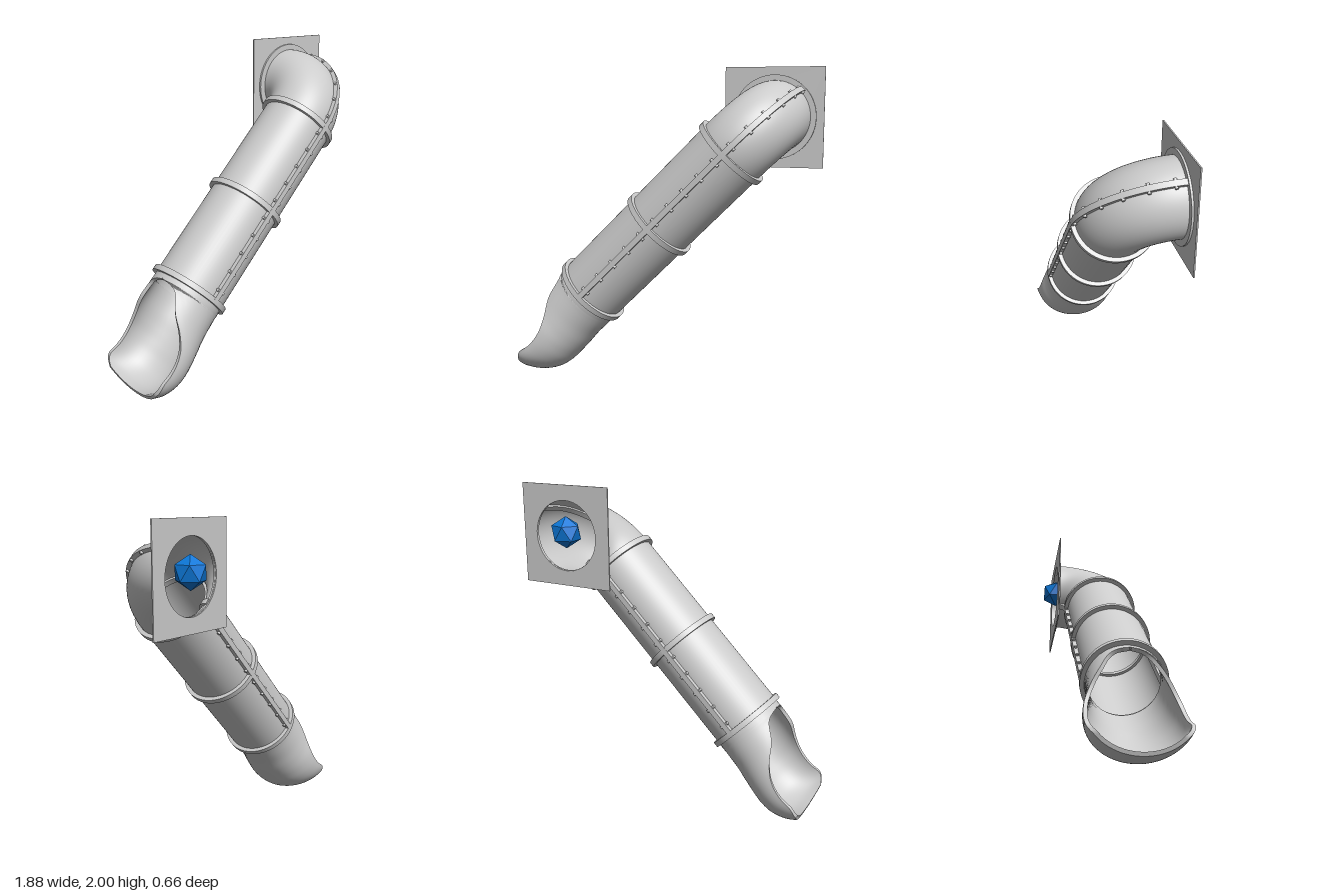
import * as THREE from 'three';
import { toCreasedNormals } from 'three/addons/utils/BufferGeometryUtils.js';

const TUBE = 0.228, FLANGE = 0.253, BEND = 0.295, SEGMENT = 0.65, SEAM = 0.035;
const grey = new THREE.MeshStandardMaterial({ color: 0xcccccc });
const greyThin = new THREE.MeshStandardMaterial({ color: 0xcccccc, side: THREE.DoubleSide });
const blue = new THREE.MeshStandardMaterial({ color: 0x0d78d8, flatShading: true });

function add(parent, name, geometry, material, x = 0, y = 0, z = 0) {
  const mesh = new THREE.Mesh(geometry, material);
  mesh.name = name;
  mesh.position.set(x, y, z);
  parent.add(mesh);
  return mesh;
}

// Flat collar around the y axis
function collar(inner, outer, thick) {
  const h = thick / 2;
  const profile = [[inner, -h], [outer, -h], [outer, h], [inner, h], [inner, -h]]
    .map(([r, y]) => new THREE.Vector2(r, y));
  return toCreasedNormals(new THREE.LatheGeometry(profile, 64), 0.6);
}

// Quarter-circle seam strip lying in the xz plane
function seamArc(inner, outer) {
  const shape = new THREE.Shape();
  shape.absarc(0, 0, outer, 0, Math.PI / 2, false);
  shape.absarc(0, 0, inner, Math.PI / 2, 0, true);
  const g = new THREE.ExtrudeGeometry(shape, { depth: SEAM, bevelEnabled: false, curveSegments: 24 });
  g.translate(0, 0, -SEAM / 2);
  g.rotateX(Math.PI / 2);
  return toCreasedNormals(g, 0.5);
}

// Scooped exit: U-shaped shell sections from the floor line to the rim line
function exitGeometry() {
  // floor x, floor y, rim x, rim y, half width
  const stations = [
    [-0.339, 0.399, -0.661, 0.721, 0.228],
    [-0.37, 0.37, -0.70, 0.69, 0.228],
    [-0.42, 0.32, -0.70, 0.64, 0.229],
    [-0.48, 0.26, -0.745, 0.53, 0.237],
    [-0.54, 0.19, -0.755, 0.42, 0.25],
    [-0.60, 0.125, -0.775, 0.335, 0.265],
    [-0.66, 0.065, -0.81, 0.27, 0.273],
    [-0.73, 0.02, -0.86, 0.215, 0.277],
    [-0.82, 0.0, -0.92, 0.17, 0.283],
    [-0.91, 0.005, -0.943, 0.10, 0.288],
  ];
  const floorLine = new THREE.CatmullRomCurve3(stations.map(s => new THREE.Vector3(s[0], s[1], s[4])));
  const rimLine = new THREE.CatmullRomCurve3(stations.map(s => new THREE.Vector3(s[2], s[3], 0)));
  const rows = 54, half = 32, n = 2 * half + 3, h = TUBE;
  const pos = [], index = [];
  for (let i = 0; i <= rows + 1; i++) {
    const u = Math.min(i / rows, 1);
    const wall = i > rows ? 0 : 0.022; // the last row closes the lip
    const b = floorLine.getPoint(u), e = rimLine.getPoint(u);
    const up = new THREE.Vector2(e.x - b.x, e.y - b.y);
    const span = Math.acos(Math.max(-1, 1 - up.length() / h));
    up.normalize();
    for (let j = 0; j < n; j++) {
      const k = j % (n - 1);
      const outer = k <= half;
      const phi = span * (outer ? 2 * k / half - 1 : 1 - 2 * (k - half - 1) / half);
      const t = outer ? 0 : wall;
      const rise = h - (h - t) * Math.cos(phi);
      pos.push(b.x + up.x * rise, Math.max(0, b.y + up.y * rise), (b.z - t) * Math.sin(phi));
    }
  }
  for (let i = 0; i <= rows; i++) {
    for (let j = 0; j < n - 1; j++) {
      const a = i * n + j, c = a + n;
      index.push(a, a + 1, c, a + 1, c + 1, c);
    }
  }
  const g = new THREE.BufferGeometry();
  g.setAttribute('position', new THREE.Float32BufferAttribute(pos, 3));
  g.setIndex(index);
  return toCreasedNormals(g, 0.7);
}

export function createModel() {
  const model = new THREE.Group();
  model.name = 'tubeSlide';

  // Sloping tube: local x runs up the slope, origin at the start of the elbow
  const slope = new THREE.Group();
  slope.name = 'slopingTube';
  slope.position.set(0.415, 1.48, 0.055);
  slope.rotation.z = Math.PI / 4;
  model.add(slope);

  const ringGeo = collar(TUBE - 0.015, FLANGE, 0.035).rotateZ(Math.PI / 2);
  const tubeGeo = new THREE.CylinderGeometry(TUBE, TUBE, SEGMENT, 64, 1, true).rotateZ(Math.PI / 2);
  const stripGeo = new THREE.BoxGeometry(SEGMENT, SEAM, 0.04);
  const boltGeo = new THREE.CylinderGeometry(0.01, 0.01, SEAM + 0.024, 8);
  for (let s = 0; s < 3; s++) {
    add(slope, 'jointRing', ringGeo, grey, -s * SEGMENT);
    if (s === 2) break;
    const mid = -(s + 0.5) * SEGMENT;
    add(slope, 'tubeSection', tubeGeo, greyThin, mid);
    for (const side of [-1, 1]) {
      add(slope, 'seamStrip', stripGeo, grey, mid, 0, side * (FLANGE - 0.02));
      for (let i = -2; i <= 2; i++) {
        add(slope, 'seamBolt', boltGeo, grey, mid + i * 0.13, 0, side * (FLANGE - 0.012));
      }
    }
  }

  // Elbow turning back into the wall
  const elbow = new THREE.Group();
  elbow.name = 'elbow';
  elbow.position.z = -BEND;
  slope.add(elbow);
  add(elbow, 'elbowTube',
    new THREE.TorusGeometry(BEND, TUBE, 64, 40, Math.PI / 2).rotateX(Math.PI / 2), greyThin);
  add(elbow, 'outerSeam', seamArc(BEND + FLANGE - 0.04, BEND + FLANGE), grey);
  add(elbow, 'innerSeam', seamArc(BEND - FLANGE, BEND - FLANGE + 0.04), grey);
  for (let i = 0; i < 6; i++) {
    const a = (i + 0.5) / 6 * Math.PI / 2, r = BEND + FLANGE - 0.012;
    add(elbow, 'seamBolt', boltGeo, grey, r * Math.cos(a), 0, r * Math.sin(a));
  }

  // Scooped exit at the bottom
  add(model, 'exitScoop', exitGeometry(), greyThin, 0, 0, 0.055);

  // Wall panel with a round entrance
  const panel = new THREE.Shape();
  const p = 0.315;
  panel.moveTo(-p, -p).lineTo(p, -p).lineTo(p, p).lineTo(-p, p).closePath();
  panel.holes.push(new THREE.Path().absarc(0, 0, TUBE - 0.008, 0, Math.PI * 2, true));
  const panelGeo = new THREE.ExtrudeGeometry(panel, { depth: 0.008, bevelEnabled: false, curveSegments: 48 });
  add(model, 'wallPanel', panelGeo, grey, 0.62, 1.685, -0.25);
  add(model, 'entranceFlange', collar(TUBE - 0.008, 0.265, 0.012).rotateX(Math.PI / 2), grey, 0.622, 1.687, -0.236);

  // Blue marker at the entrance, one corner pointing up
  const gem = add(model, 'entranceMarker', new THREE.IcosahedronGeometry(0.1), blue, 0.62, 1.708, -0.242);
  gem.rotation.z = Math.atan(2 / (1 + Math.sqrt(5)));

  return model;
}
